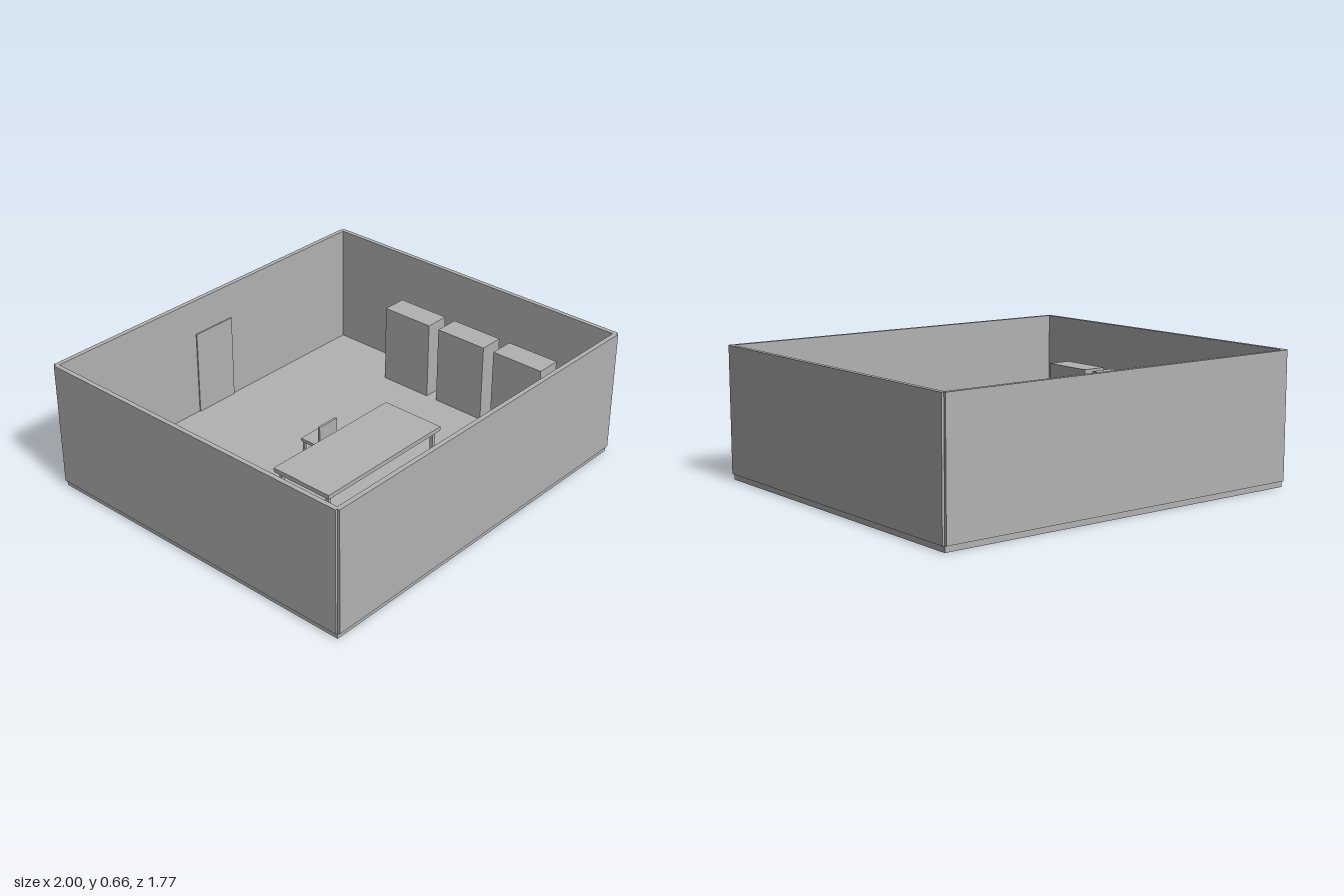
import * as THREE from 'three';

export function createModel() {
  const model = new THREE.Group();
  model.name = 'furnishedRoom';
  const grey = new THREE.MeshStandardMaterial({ color: 0xb2b2b2 });
  grey.name = 'plain grey';

  // Box given by its centre in x and z, its bottom and its size
  function box(parent, name, w, h, d, x, bottom, z) {
    const mesh = new THREE.Mesh(new THREE.BoxGeometry(w, h, d), grey);
    mesh.name = name;
    mesh.position.set(x, bottom + h / 2, z);
    parent.add(mesh);
  }

  function group(name, x, y, z) {
    const g = new THREE.Group();
    g.name = name;
    g.position.set(x, y, z);
    model.add(g);
    return g;
  }

  // Four square legs, inset from the edges of a top
  function legs(parent, name, w, d, h, size, inset) {
    for (const sx of [-1, 1])
      for (const sz of [-1, 1])
        box(parent, name, size, h, size, sx * (w / 2 - inset), 0, sz * (d / 2 - inset));
  }

  function table(name, w, d, x, z) {
    const g = group(name, x, floorTop, z);
    box(g, name + 'Top', w, 0.023, d, 0, 0.115, 0);
    legs(g, name + 'Leg', w, d, 0.115, 0.018, 0.027);
  }

  // Floor slab and the four walls centred on its edges
  const floorTop = 0.03, wallHeight = 0.63, thick = 0.0235;
  const width = 1.9765, depth = 1.744;
  box(model, 'floor', width, floorTop, depth, 0, 0, 0);
  for (const s of [-1, 1]) {
    box(model, s < 0 ? 'backWall' : 'frontWall', width, wallHeight, thick, 0, floorTop, s * depth / 2);
    box(model, s < 0 ? 'rightWall' : 'leftWall', thick, wallHeight, depth, s * width / 2, floorTop, 0);
  }

  // Door on the inside of the back wall
  box(model, 'door', 0.243, 0.445, 0.012, 0, floorTop, -0.86);

  // Three cabinets along each side wall
  for (const s of [-1, 1])
    for (const z of [-0.235, 0.113, 0.462])
      box(model, 'cabinet', 0.13, 0.412, 0.287, s * 0.837, floorTop, z);

  // Large central desk and small side table
  table('desk', 0.81, 0.349, 0, 0.116);
  table('sideTable', 0.349, 0.174, 0.523, 0.638);

  // Chair behind the desk, with its backrest on the desk side
  const chair = group('chair', 0, floorTop, -0.142);
  box(chair, 'chairSeat', 0.124, 0.017, 0.124, 0, 0.065, 0);
  box(chair, 'chairBack', 0.124, 0.11, 0.012, 0, 0.082, 0.056);
  legs(chair, 'chairLeg', 0.124, 0.124, 0.065, 0.012, 0.012);

  return model;
}
